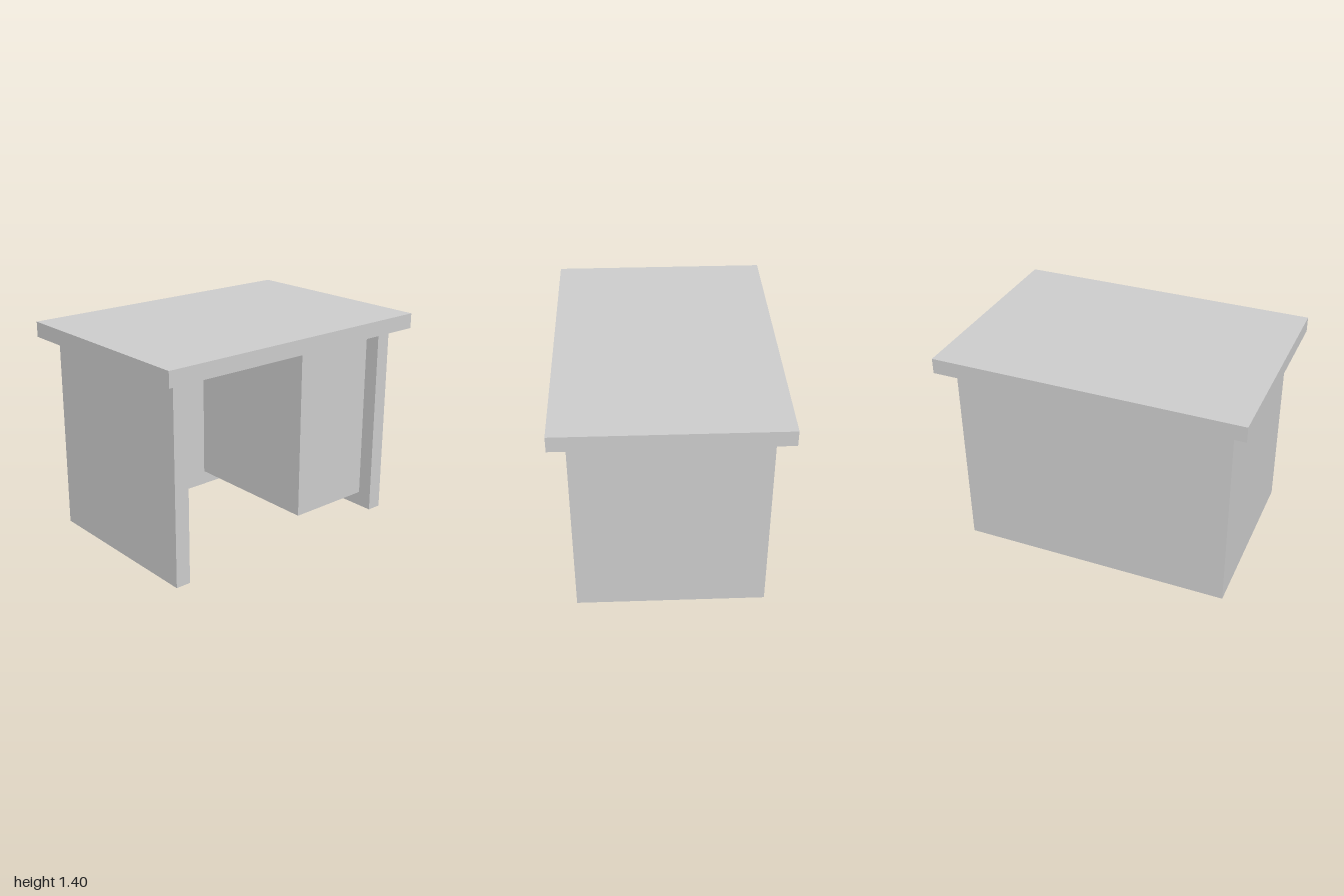
import * as THREE from 'three';

export function createModel() {
  const desk = new THREE.Group();
  desk.name = 'desk';
  const material = new THREE.MeshStandardMaterial({ color: 0xcccccc, flatShading: true });

  // Box given by its lowest and highest corners
  function addBox(name, min, max) {
    const size = max.map((v, i) => v - min[i]);
    const mesh = new THREE.Mesh(new THREE.BoxGeometry(...size), material);
    mesh.position.set(...max.map((v, i) => (v + min[i]) / 2));
    mesh.name = name;
    desk.add(mesh);
  }

  // Overhanging top
  addBox('desktop', [-0.7, 1.3, -1], [0.7, 1.4, 1]);

  // Full-width end panels and the panel between them, open on +x
  addBox('frontEndPanel', [-0.6, 0, 0.8], [0.6, 1.3, 0.9]);
  addBox('backEndPanel', [-0.6, 0, -0.9], [0.6, 1.3, -0.8]);
  addBox('modestyPanel', [-0.6, 0, -0.8], [-0.5, 1.3, 0.8]);

  // Drawer block hung under the top, clear of the floor
  addBox('drawerPedestal', [-0.5, 0.1, -0.8], [0.5, 1.3, -0.2]);

  return desk;
}
